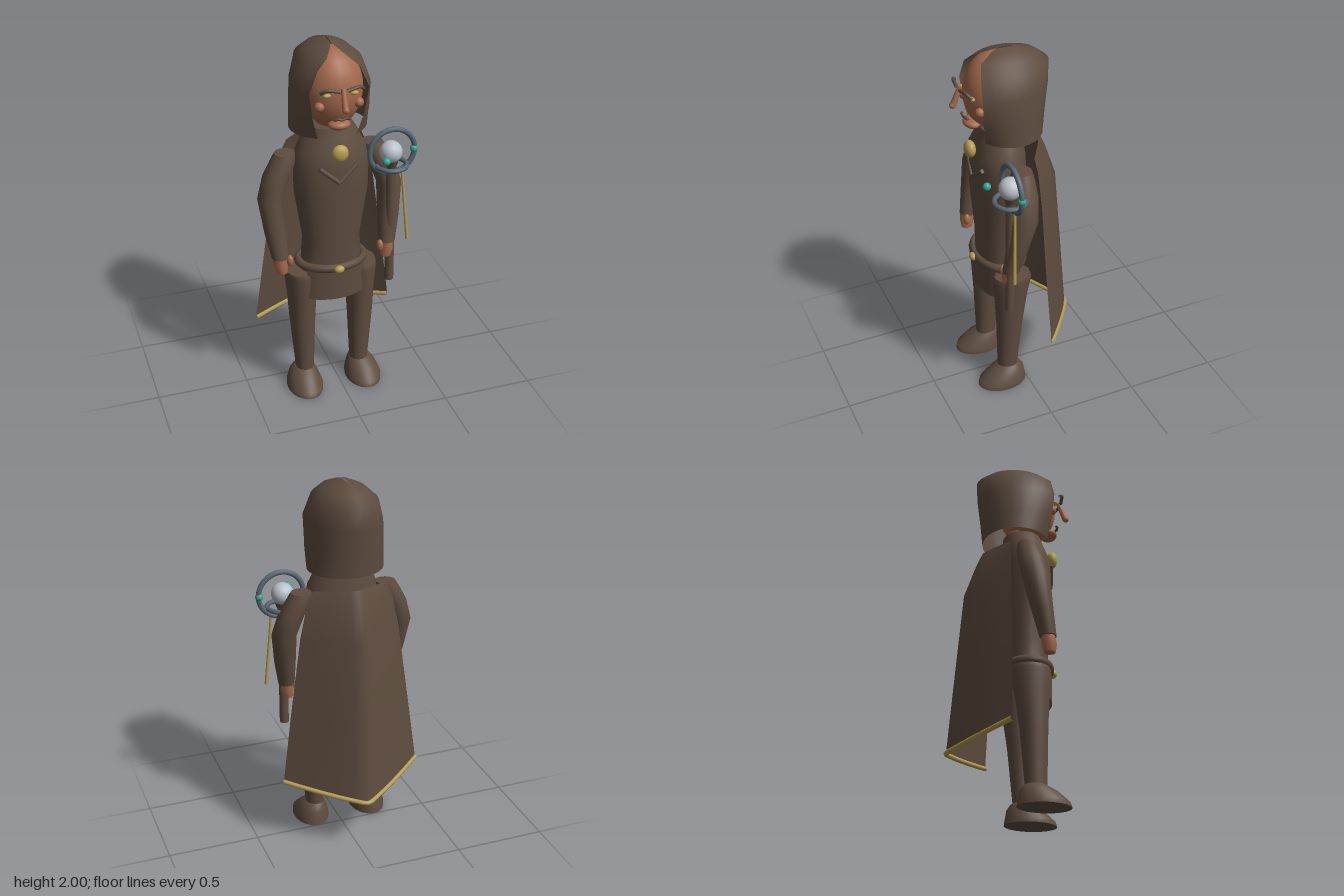
import * as THREE from 'three';

const mat = (name, color) => {
  const m = new THREE.MeshStandardMaterial({ color });
  m.name = name;
  return m;
};
const V = (x, y, z) => new THREE.Vector3(x, y, z);

// Surface through rows of points (listed bottom to top); wrap closes each row into a ring with end caps
function grid(rows, wrap) {
  const n = rows[0].length, pos = [], idx = [];
  rows.forEach(r => r.forEach(p => pos.push(p.x, p.y, p.z)));
  for (let i = 0; i < rows.length - 1; i++) {
    for (let j = 0; j < (wrap ? n : n - 1); j++) {
      const k = (j + 1) % n, a = i * n + j, b = i * n + k, c = a + n, d = b + n;
      idx.push(a, b, d, a, d, c);
    }
  }
  if (wrap) {
    [[rows[0], false], [rows[rows.length - 1], true]].forEach(([r, up]) => {
      const s = pos.length / 3;
      const c = r.reduce((t, p) => t.add(p), V(0, 0, 0)).divideScalar(n);
      [c, ...r].forEach(p => pos.push(p.x, p.y, p.z));
      for (let j = 0; j < n; j++) {
        const a = s + 1 + j, b = s + 1 + (j + 1) % n;
        idx.push(s, up ? a : b, up ? b : a);
      }
    });
  }
  const g = new THREE.BufferGeometry();
  g.setAttribute('position', new THREE.Float32BufferAttribute(pos, 3));
  g.setIndex(idx);
  g.computeVertexNormals();
  return g;
}

// Ellipse points around (cx, cz), angle measured from +z toward +x
const arc = (y, cx, cz, rx, rz, a0, a1, n) => Array.from({ length: n }, (_, j) => {
  const a = a0 + (a1 - a0) * j / (n - 1);
  return V(cx + rx * Math.sin(a), y, cz + rz * Math.cos(a));
});

// Solid from stacked ellipses [y, cx, cz, rx, rz]
const loft = (rings, n = 20) =>
  grid(rings.map(r => arc(...r, 0, Math.PI * 2, n + 1).slice(0, n)), true);

const tube = (pts, r, seg = 16) =>
  new THREE.TubeGeometry(new THREE.CatmullRomCurve3(pts), seg, r, 8);

// Tapered rod between two points
function rod(a, b, ra, rb) {
  const g = new THREE.CylinderGeometry(rb, ra, a.distanceTo(b), 10);
  g.applyQuaternion(new THREE.Quaternion().setFromUnitVectors(V(0, 1, 0), b.clone().sub(a).normalize()));
  return g.translate((a.x + b.x) / 2, (a.y + b.y) / 2, (a.z + b.z) / 2);
}

const ball = (x, y, z, rx, ry = rx, rz = rx) =>
  new THREE.SphereGeometry(1, 20, 14).scale(rx, ry, rz).translate(x, y, z);

export function createModel() {
  const cloth = mat('brown cloth', 0x5e4c3f);
  cloth.side = THREE.DoubleSide;
  const skin = mat('skin', 0xa3694c);
  const gold = mat('gold', 0xb59c53);
  const metal = mat('slate metal', 0x566672);
  const glass = mat('pale orb', 0xb9c0c8);
  const teal = mat('teal gem', 0x33a592);

  const model = new THREE.Group();
  model.name = 'hoodedTraveller';
  const body = new THREE.Group();
  body.name = 'body';
  body.position.x = -0.03;
  model.add(body);
  const add = (name, geo, m, parent = body) => {
    const mesh = new THREE.Mesh(geo, m);
    mesh.name = name;
    parent.add(mesh);
    return mesh;
  };

  // Torso, neck, belt
  add('torso', loft([
    [0.72, 0, 0.085, 0.165, 0.11], [0.8, 0, 0.085, 0.165, 0.115], [0.92, 0, 0.085, 0.155, 0.118],
    [1.2, 0, 0.085, 0.198, 0.138], [1.36, 0, 0.085, 0.2, 0.138], [1.44, 0, 0.08, 0.185, 0.13],
    [1.52, 0, 0.07, 0.145, 0.112], [1.57, 0, 0.067, 0.115, 0.103]], 24), cloth);
  add('neck', new THREE.CylinderGeometry(0.07, 0.07, 0.12, 16).translate(0, 1.6, 0.06), skin);
  add('belt', new THREE.TorusGeometry(1, 0.13, 10, 32).rotateX(Math.PI / 2)
    .scale(0.178, 0.18, 0.13).translate(0, 0.782, 0.085), cloth);
  add('buckle', ball(0, 0.782, 0.232, 0.028, 0.021, 0.02), gold);
  add('frontFlap', grid([arc(0.59, 0, 0.085, 0.2, 0.132, -0.9, 0.9, 13),
    arc(0.77, 0, 0.085, 0.2, 0.132, -0.9, 0.9, 13)], false), cloth);
  add('brooch', ball(0, 1.465, 0.235, 0.044, 0.047, 0.03), gold);

  // Limbs and mirrored face details
  for (const s of [-1, 1]) {
    const side = s > 0 ? 'left' : 'right';
    add(side + 'Arm', loft([
      [0.86, s * 0.297, 0.14, 0.044, 0.044], [1.0, s * 0.312, 0.11, 0.057, 0.057],
      [1.18, s * 0.325, 0.075, 0.066, 0.073], [1.3, s * 0.287, 0.06, 0.07, 0.072],
      [1.38, s * 0.245, 0.052, 0.069, 0.062], [1.42, s * 0.235, 0.05, 0.055, 0.052]]), cloth);
    add(side + 'Hand', loft([
      [0.775, s * 0.288, 0.15, 0.028, 0.03], [0.82, s * 0.295, 0.147, 0.038, 0.04],
      [0.87, s * 0.297, 0.142, 0.034, 0.036]], 10), skin);
    add(side + 'Thumb', ball(s * 0.25, 0.845, 0.163, 0.018, 0.033, 0.02), skin);
    add(side + 'Leg', loft([
      [0.08, s * 0.158, 0.1, 0.05, 0.055], [0.12, s * 0.158, 0.1, 0.051, 0.057],
      [0.42, s * 0.165, 0.09, 0.07, 0.074], [0.6, s * 0.165, 0.082, 0.08, 0.092],
      [0.71, s * 0.167, 0.076, 0.089, 0.108], [0.735, s * 0.167, 0.076, 0.084, 0.1]]), cloth);
    add(side + 'Shoe', loft([
      [0, s * 0.17, 0.139, 0.097, 0.139], [0.025, s * 0.17, 0.137, 0.098, 0.133],
      [0.075, s * 0.168, 0.112, 0.08, 0.1], [0.105, s * 0.162, 0.097, 0.06, 0.066],
      [0.112, s * 0.16, 0.097, 0.05, 0.056]], 24), cloth);
    add(side + 'ChestBand', rod(V(s * 0.1, 1.38, 0.207), V(0, 1.295, 0.226), 0.012, 0.012), cloth);
    add(side + 'Brow', tube([V(s * 0.112, 1.815, 0.262), V(s * 0.085, 1.834, 0.28),
      V(s * 0.02, 1.824, 0.288)], 0.009), cloth);
    add(side + 'Eye', ball(s * 0.07, 1.79, 0.243, 0.021, 0.011, 0.012), gold);
    add(side + 'Cheek', ball(s * 0.102, 1.724, 0.216, 0.026), skin);
    add(side + 'Moustache', tube([V(0, 1.662, 0.266), V(s * 0.02, 1.668, 0.265),
      V(s * 0.04, 1.66, 0.255)], 0.007, 8), cloth);
  }

  // Head
  add('head', ball(0, 1.775, 0.095, 0.158, 0.212, 0.163), skin);
  add('nose', rod(V(0, 1.735, 0.318), V(0, 1.835, 0.278), 0.017, 0.012), skin);
  add('noseTip', ball(0, 1.737, 0.32, 0.017), skin);
  add('chin', ball(0, 1.62, 0.22, 0.058, 0.026, 0.045), skin);

  // Hood, open at the front: [y, cz, rx, rz, half opening angle]
  const hoodRows = [[1.54, 0.032, 0.203, 0.182, 0.53], [1.66, 0.05, 0.204, 0.212, 0.72],
    [1.8, 0.065, 0.2, 0.245, 0.88], [1.91, 0.04, 0.165, 0.228, 0.72],
    [1.96, 0.04, 0.11, 0.165, 0.5], [1.99, 0.04, 0.045, 0.08, 0.3], [2, 0.035, 0.003, 0.04, 0]];
  add('hood', grid(hoodRows.map(([y, cz, rx, rz, a]) =>
    arc(y, 0, cz, rx, rz, a, Math.PI * 2 - a, 25)), false), cloth);

  // Cape with a ridge down the back: [edge y, ridge y, half width, edge z, ridge z]
  const capeRows = [[0.37, 0.305, 0.388, -0.062, -0.328], [0.77, 0.75, 0.335, -0.05, -0.29],
    [1.2, 1.2, 0.275, -0.045, -0.25], [1.38, 1.39, 0.235, -0.04, -0.185], [1.45, 1.47, 0.2, -0.035, -0.15]];
  const capeLine = ([ye, ym, w, ze, zm]) => Array.from({ length: 13 }, (_, j) => {
    const t = 1 - j / 6, k = Math.abs(t) ** 1.15;
    return V(w * t, ym + (ye - ym) * k, zm + (ze - zm) * k);
  });
  add('cape', grid(capeRows.map(capeLine), false), cloth);
  add('capeTrim', tube(capeLine(capeRows[0]), 0.013, 36), gold);

  // Staff with orb, rings and gems
  const staff = new THREE.Group();
  staff.name = 'staff';
  staff.position.set(0.28, 0, 0.145);
  model.add(staff);
  add('shaft', rod(V(0, 0.62, 0.008), V(0, 1.3, 0), 0.025, 0.025), cloth, staff);
  add('orbCup', new THREE.CylinderGeometry(0.04, 0.022, 0.05, 14).translate(0, 1.315, 0), cloth, staff);
  add('orb', ball(-0.003, 1.385, 0, 0.06), glass, staff);
  add('uprightRing', new THREE.TorusGeometry(0.123, 0.014, 10, 40).translate(0.006, 1.385, -0.005), metal, staff);
  add('levelRing', new THREE.TorusGeometry(0.08, 0.013, 10, 32, Math.PI * 1.4)
    .rotateX(Math.PI / 2).rotateY(1.2).translate(0, 1.312, 0.002), metal, staff);
  add('frontGem', ball(-0.065, 1.385, 0.1, 0.021), teal, staff);
  add('sideGem', ball(0.125, 1.385, -0.005, 0.021), teal, staff);
  add('ribbon', rod(V(0.094, 0.86, 0.02), V(0.06, 1.27, 0.003), 0.009, 0.007), gold, staff);

  return model;
}
